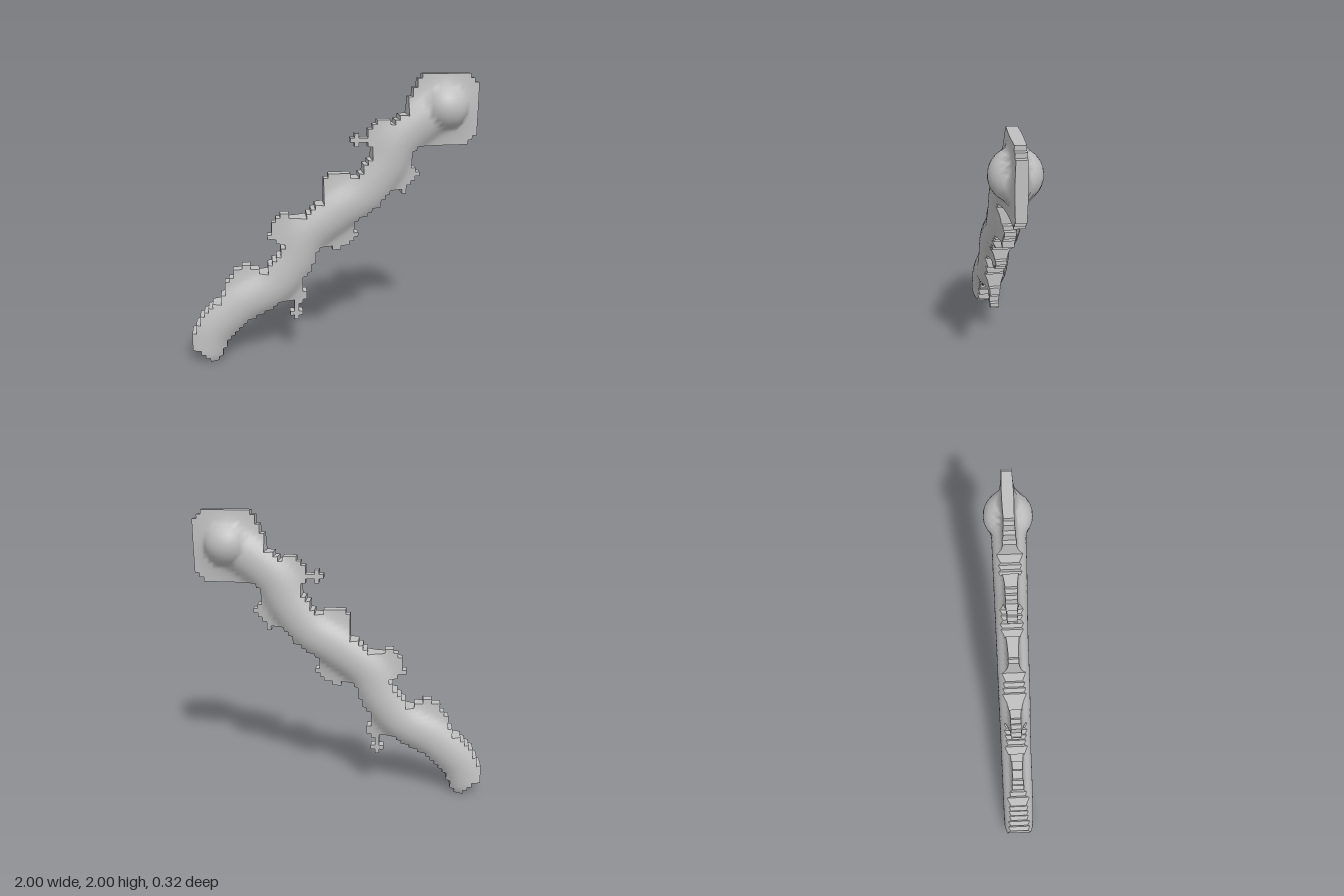
import * as THREE from 'three';

const N = 66, CELL = 2 / N; // stepped outline grid

// Winding centre line of the staff
const spine = new THREE.SplineCurve([
  [-0.91, 0.08], [-0.84, 0.23], [-0.65, 0.4], [-0.42, 0.53], [-0.28, 0.7], [-0.17, 0.9],
  [0.02, 1.05], [0.22, 1.18], [0.36, 1.36], [0.46, 1.54], [0.62, 1.68], [0.77, 1.77],
].map(([x, y]) => new THREE.Vector2(x, y))).getPoints(160);

const spineDist = (x, y) => Math.min(...spine.map(p => Math.hypot(p.x - x, p.y - y)));
const orbRadius = 0.16;
const orbDist = (x, y) => Math.hypot(x - 0.77, y - 1.77);

// Leaves: round lobes [x, y, radius] and twigs of grid cells [column, row, width, height]
const leaves = [
  { name: 'upperLeafLow', lobes: [[-0.6, 0.56, 0.125], [-0.69, 0.53, 0.075]], twigs: [[7, 15, 2, 1]] },
  { name: 'upperLeafMiddle', lobes: [[-0.32, 0.94, 0.11], [-0.25, 0.9, 0.1]], twigs: [[18, 29, 1, 1]] },
  { name: 'upperLeafHigh', lobes: [[0.05, 1.22, 0.125], [0, 1.12, 0.07]], twigs: [] },
  { name: 'upperLeafTop', lobes: [[0.34, 1.57, 0.105], [0.34, 1.64, 0.06], [0.43, 1.56, 0.09]],
    twigs: [[37, 51, 6, 1], [38, 50, 1, 3]] },
  { name: 'lowerLeafLow', lobes: [[-0.31, 0.51, 0.1], [-0.23, 0.45, 0.05]],
    twigs: [[23, 10, 3, 1], [24, 9, 1, 4]] },
  { name: 'lowerLeafMiddle', lobes: [[0.06, 0.91, 0.095], [-0.03, 0.89, 0.075]],
    twigs: [[33, 26, 2, 1], [37, 29, 2, 1]] },
  { name: 'lowerLeafHigh', lobes: [[0.475, 1.32, 0.1], [0.48, 1.4, 0.075]],
    twigs: [[49, 39, 1, 2], [52, 43, 1, 1]] },
];
const stemTwigs = [[0, 4, 2, 1], [4, 0, 1, 2]];
const inTwig = (list, i, j) => list.some(([c, r, w, h]) => i >= c && i < c + w && j >= r && j < r + h);

// Chamfered plate around the orb
function inFlange(x, y) {
  const dx = Math.abs(x - 0.76), dy = Math.abs(y - 1.765);
  return dx < 0.25 && dy < 0.24 && dx + dy < 0.4 && y < 1.82 + 2 * (x - 0.51);
}

// Name of the part that fills a grid cell, or null
function owner(i, j) {
  const x = (i + 0.5) * CELL - 1, y = (j + 0.5) * CELL;
  if (orbDist(x, y) <= orbRadius) return 'orb';
  const ahead = (x - spine[0].x) * 0.64 + (y - spine[0].y) * 0.77; // square cut at the foot
  if ((spineDist(x, y) < 0.122 && ahead > -0.03) || inTwig(stemTwigs, i, j)) return 'stem';
  if (inFlange(x, y)) return 'headFlange';
  const leaf = leaves.find(l => inTwig(l.twigs, i, j) ||
    l.lobes.some(([cx, cy, r]) => Math.hypot(x - cx, y - cy) < r));
  return leaf ? leaf.name : null;
}

// Half thickness: round stem and orb blended into thin fins
function depth(x, y) {
  const d = spineDist(x, y);
  const fin = 0.03 + 0.035 * Math.exp(-Math.max(0, d - 0.12) / 0.07);
  const stem = Math.sqrt(Math.max(0, 0.112 ** 2 - (0.75 * d) ** 2));
  const orb = Math.sqrt(Math.max(0, orbRadius ** 2 - orbDist(x, y) ** 2));
  const round = Math.max(stem, orb);
  return (round + fin + Math.hypot(round - fin, 0.012)) / 2 - 0.001;
}

// Position and smooth normal at a grid corner
function corner(i, j) {
  const x = i * CELL - 1, y = j * CELL, e = 0.012;
  const n = new THREE.Vector3(
    (depth(x - e, y) - depth(x + e, y)) / (2 * e),
    (depth(x, y - e) - depth(x, y + e)) / (2 * e), 1).normalize();
  return { x, y, h: depth(x, y), n };
}

export function createModel() {
  const group = new THREE.Group();
  group.name = 'gnarledStaff';
  const grey = new THREE.MeshStandardMaterial({ color: 0xc0c0c0 });
  grey.name = 'grey';

  const range = n => Array.from({ length: n }, (_, k) => k);
  const corners = range(N + 1).map(i => range(N + 1).map(j => corner(i, j)));
  const grid = range(N).map(i => range(N).map(j => owner(i, j)));
  const filled = (i, j) => !!(grid[i] && grid[i][j]);

  for (const name of ['stem', 'orb', 'headFlange', ...leaves.map(l => l.name)]) {
    const pos = [], nor = [];
    const quad = (pts, normals) => {
      for (const k of [0, 1, 2, 0, 2, 3]) {
        pos.push(...pts[k]);
        nor.push(...normals[k]);
      }
    };
    for (let i = 0; i < N; i++) for (let j = 0; j < N; j++) {
      if (grid[i][j] !== name) continue;
      const c = [corners[i][j], corners[i + 1][j], corners[i + 1][j + 1], corners[i][j + 1]];
      // Front and back skins
      quad(c.map(p => [p.x, p.y, p.h]), c.map(p => [p.n.x, p.n.y, p.n.z]));
      const r = [...c].reverse();
      quad(r.map(p => [p.x, p.y, -p.h]), r.map(p => [p.n.x, p.n.y, -p.n.z]));
      // Stepped rim walls where the neighbour is empty
      [[0, -1], [1, 0], [0, 1], [-1, 0]].forEach(([dx, dy], k) => {
        if (filled(i + dx, j + dy)) return;
        const a = c[k], b = c[(k + 1) % 4], n = [dx, dy, 0];
        quad([[a.x, a.y, -a.h], [b.x, b.y, -b.h], [b.x, b.y, b.h], [a.x, a.y, a.h]], [n, n, n, n]);
      });
    }
    const geo = new THREE.BufferGeometry();
    geo.setAttribute('position', new THREE.Float32BufferAttribute(pos, 3));
    geo.setAttribute('normal', new THREE.Float32BufferAttribute(nor, 3));
    const mesh = new THREE.Mesh(geo, grey);
    mesh.name = name;
    group.add(mesh);
  }
  return group;
}
